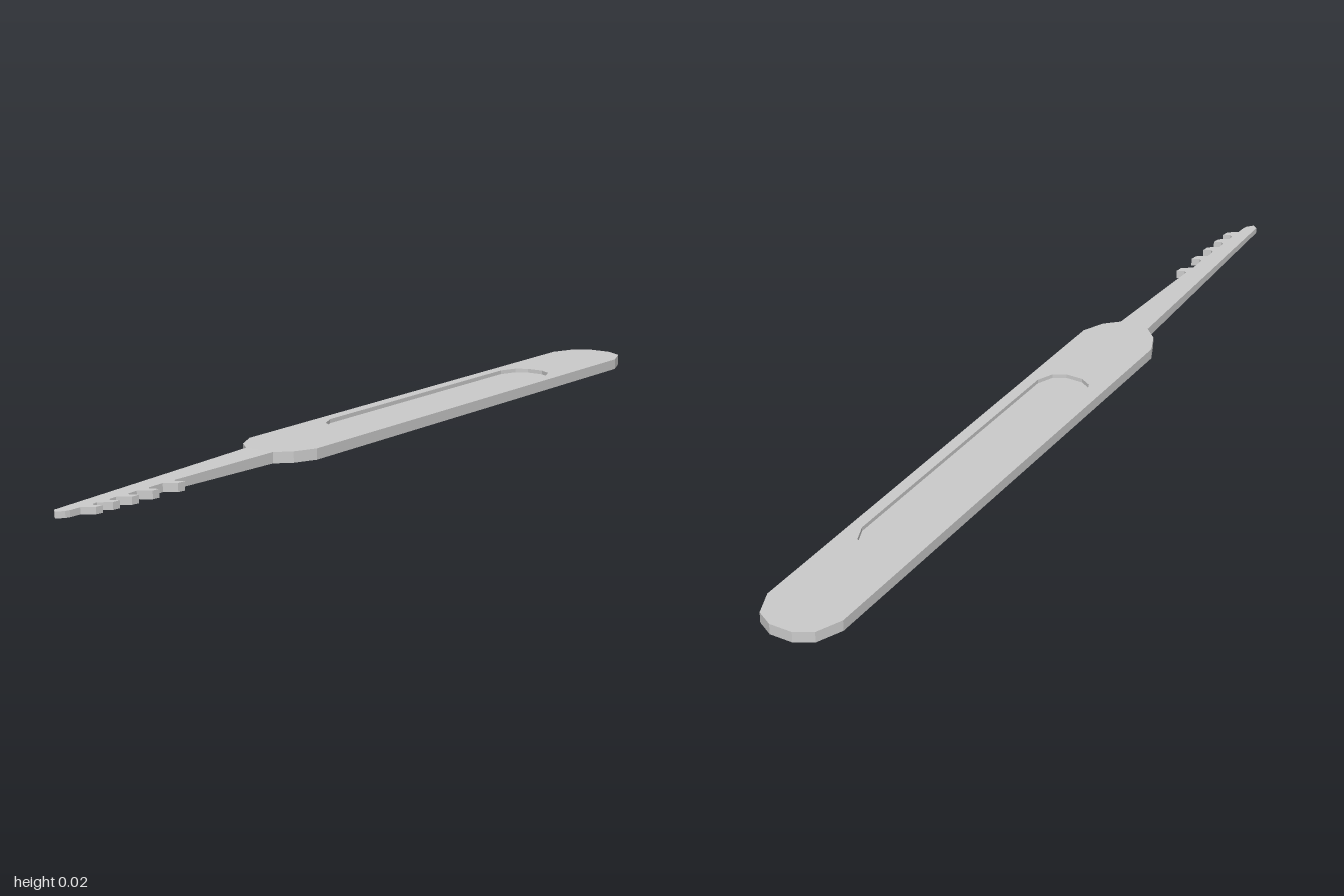
import * as THREE from 'three';

const H = 0.024; // full thickness

// Mirror a half outline (x > 0, listed by increasing z) into a closed [x, z] loop.
const mirrored = (half) => [...half, ...half.slice().reverse().map(([x, z]) => [-x, z])];
const toPoints = (loop) => loop.map(([x, z]) => new THREE.Vector2(x, z));

// Flat plate lying in the xz plane between two heights.
function plate(outline, hole, y0, y1) {
  const shape = new THREE.Shape(toPoints(outline));
  if (hole) shape.holes.push(new THREE.Path(toPoints(hole)));
  const geo = new THREE.ExtrudeGeometry(shape, { depth: y1 - y0, bevelEnabled: false });
  geo.rotateX(Math.PI / 2);
  geo.translate(0, y1, 0);
  return geo;
}

export function createModel() {
  const group = new THREE.Group();
  const material = new THREE.MeshStandardMaterial({ color: 0xcccccc, flatShading: true });
  const add = (name, geo) => {
    const mesh = new THREE.Mesh(geo, material);
    mesh.name = name;
    group.add(mesh);
  };

  // Handle with a long opening
  const handle = mirrored([
    [0.026, -1], [0.064, -0.978], [0.088, -0.92],
    [0.088, 0.305], [0.066, 0.355], [0.035, 0.385],
  ]);
  const recess = mirrored([
    [0.02, -0.69], [0.046, -0.675], [0.062, -0.635],
    [0.062, 0.055], [0.046, 0.093], [0.02, 0.108],
  ]);
  add('handle', plate(handle, recess, 0, H));

  // Thin web closing the opening, sunk below both faces
  add('gripPanel', plate(recess, null, 0.008, 0.015));

  // Blade: tapered strip with hooked teeth along its left edge
  const edge = [[0.035, 0.385], [0.024, 0.65]];
  for (const [z, reach] of [[0.68, 0.046], [0.755, 0.045], [0.813, 0.043], [0.866, 0.041], [0.912, 0.039]]) {
    const root = 0.022 - (z - 0.68) * 0.025;
    edge.push(
      [root, z + 0.003], [root + 0.007, z + 0.009], [reach, z],
      [reach - 0.002, z + 0.018], [root + 0.004, z + 0.032], [root - 0.002, z + 0.036],
    );
  }
  edge.push([0.013, 0.975], [0.01, 0.985], [-0.002, 1], [-0.014, 0.99], [-0.035, 0.385]);
  const blade = plate(edge, null, 0, H);

  // Thin the blade towards its tip
  const pos = blade.attributes.position;
  for (let i = 0; i < pos.count; i++) {
    const t = (pos.getZ(i) - 0.385) / 0.615;
    pos.setY(i, H / 2 + (pos.getY(i) - H / 2) * (1 - 0.45 * t));
  }
  blade.computeVertexNormals();
  add('blade', blade);

  return group;
}
